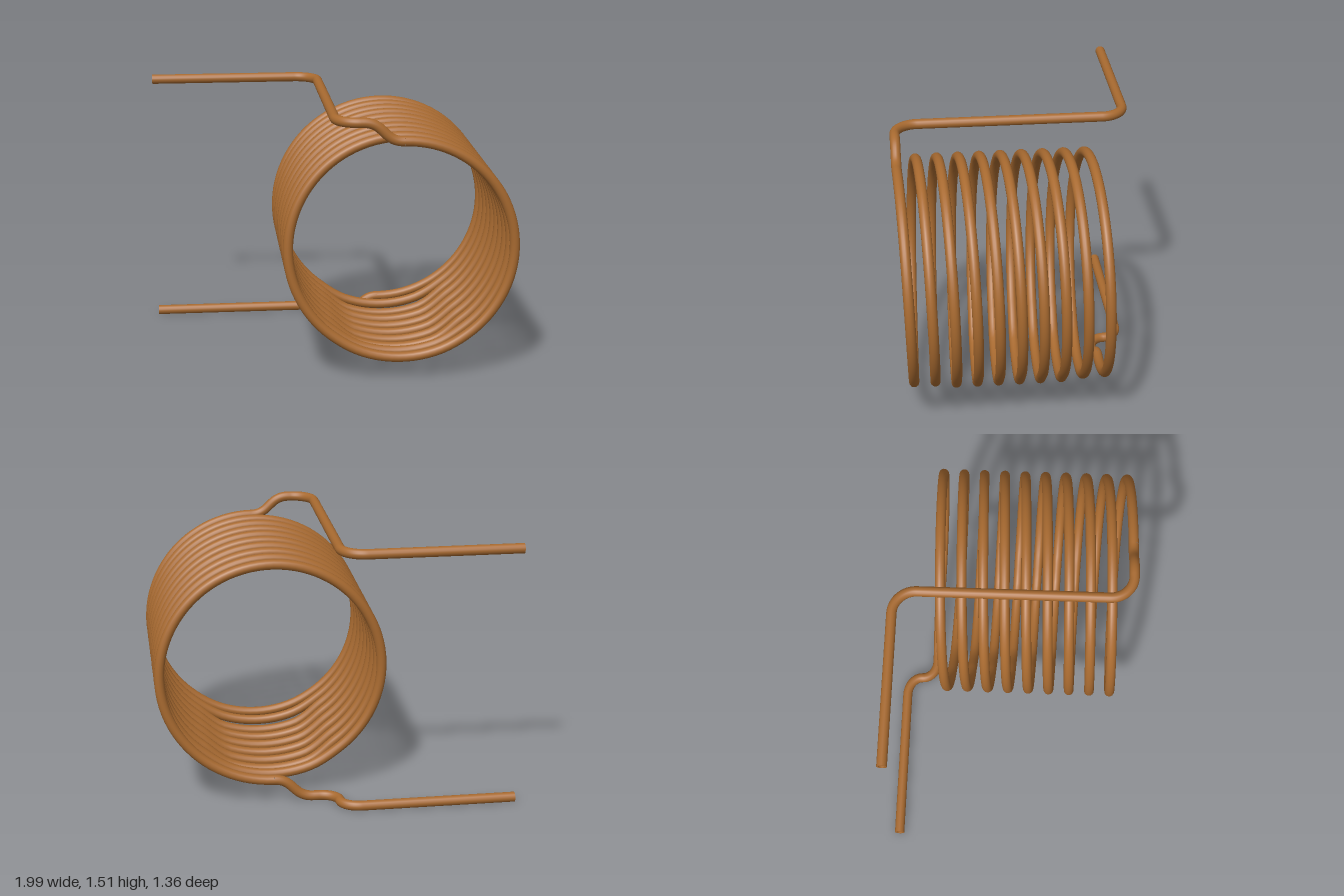
import * as THREE from 'three';

const R = 0.028;                       // tube radius
const CX = 0.345, CY = 0.76, CR = 0.622; // coil axis and centre-line radius
const Z0 = 0.65, Z1 = -0.475, TURNS = 9.5;
const TOP = 1.487, LOW = 0.029;        // heights of the two leads
const V = (x, y, z) => new THREE.Vector3(x, y, z);

// Helix running top, right, bottom, left; middle turns swell slightly at the bottom
class Coil extends THREE.Curve {
  constructor() {
    super();
    this.arcLengthDivisions = 2400;
  }
  getPoint(t, target = new THREE.Vector3()) {
    const turn = t * TURNS;
    const k = Math.min(9, Math.floor(turn));
    const edge = Math.min(k, 9 - k);
    const swell = k === 9 ? 0 : edge === 0 ? 0.004 : edge === 1 ? 0.012 : 0.032;
    const fromBottom = Math.abs(turn - k - 0.5) * 360;
    const r = CR + swell * (1 - THREE.MathUtils.smoothstep(fromBottom, 18, 38));
    const a = turn * Math.PI * 2;
    return target.set(CX + r * Math.sin(a), CY + r * Math.cos(a), THREE.MathUtils.lerp(Z0, Z1, t));
  }
}

// Chain of curves: each step is [end] for a line, [c, end] for a bend, [c1, c2, end] for an S
function route(start, steps) {
  const path = new THREE.CurvePath();
  let p = start;
  for (const s of steps) {
    const end = s[s.length - 1];
    if (s.length === 1) path.add(new THREE.LineCurve3(p, end));
    else if (s.length === 2) {
      // Cubic that closely follows a quarter circle
      const k = 0.5523;
      path.add(new THREE.CubicBezierCurve3(p, p.clone().lerp(s[0], k), end.clone().lerp(s[0], k), end));
    } else path.add(new THREE.CubicBezierCurve3(p, s[0], s[1], end));
    p = end;
  }
  return path;
}

export function createModel() {
  const group = new THREE.Group();
  const copper = new THREE.MeshStandardMaterial({ color: 0xa86a30 });
  copper.name = 'copper';
  const inner = copper.clone();
  inner.name = 'copper inside';
  inner.side = THREE.DoubleSide;

  const add = (name, geometry, material = copper) => {
    const mesh = new THREE.Mesh(geometry, material);
    mesh.name = name;
    group.add(mesh);
    return mesh;
  };
  const tube = (name, curve, segments) => add(name, new THREE.TubeGeometry(curve, segments, R, 16, false));

  tube('coil', new Coil(), 912);

  // Upper lead: rises off the coil, runs back over it, then turns sideways
  tube('upperLead', route(V(CX, CY + CR, Z0), [
    [V(0.23, CY + CR, Z0), V(0.24, TOP, Z0), V(0.12, TOP, Z0)],
    [V(0.11, TOP, Z0)],
    [V(-0.018, TOP, Z0), V(-0.018, TOP, 0.52)],
    [V(-0.018, TOP, -0.52)],
    [V(-0.018, TOP, -Z0), V(-0.148, TOP, -Z0)],
    [V(-1, TOP, -Z0)],
  ]), 260);

  // Lower lead: drops off the coil, steps back, then runs sideways
  tube('lowerLead', route(V(CX, CY - CR, Z1), [
    [V(0.23, CY - CR, Z1), V(0.24, LOW, Z1), V(0.12, LOW, Z1)],
    [V(0.09, LOW, Z1)],
    [V(-0.018, LOW, Z1), V(-0.018, LOW, -0.5625)],
    [V(-0.018, LOW, -Z0), V(-0.13, LOW, -Z0)],
    [V(-1, LOW, -Z0)],
  ]), 180);

  // Open pipe ends: a rim, a short bore and its floor
  for (const [name, y] of [['upper', TOP], ['lower', LOW]]) {
    const rim = add(name + 'Rim', new THREE.RingGeometry(0.019, R, 16), inner);
    rim.rotation.y = -Math.PI / 2;
    rim.position.set(-1, y, -Z0);
    const bore = add(name + 'Bore', new THREE.CylinderGeometry(0.019, 0.019, 0.06, 16, 1, true), inner);
    bore.rotation.z = Math.PI / 2;
    bore.position.set(-0.97, y, -Z0);
    const floor = add(name + 'BoreFloor', new THREE.CircleGeometry(0.019, 16), inner);
    floor.rotation.y = -Math.PI / 2;
    floor.position.set(-0.94, y, -Z0);
  }

  return group;
}
